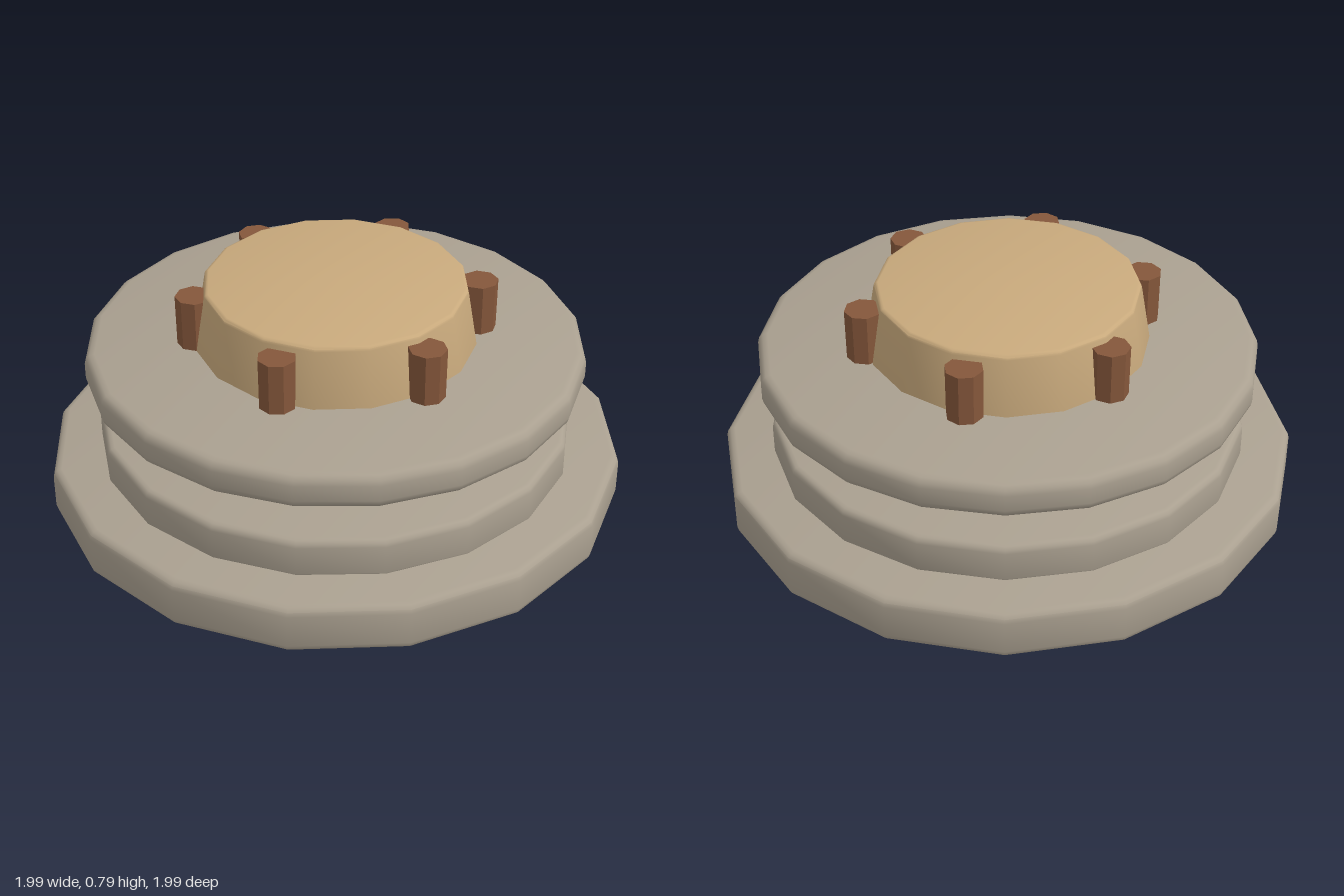
import * as THREE from 'three';
import { toCreasedNormals } from 'three/addons/utils/BufferGeometryUtils.js';

const material = (name, color) => {
  const m = new THREE.MeshStandardMaterial({ color });
  m.name = name;
  return m;
};

// Solid disc with rounded rims; the side may taper from r0 (bottom) to r1 (top)
function disc(name, mat, { r0, r1 = r0, y0, y1, bevel, sides, z = 0 }) {
  const points = [new THREE.Vector2(0, y0)];
  const steps = 3;
  for (let i = 0; i <= steps; i++) {
    const a = (i / steps) * Math.PI / 2;
    points.push(new THREE.Vector2(r0 - bevel + bevel * Math.sin(a), y0 + bevel - bevel * Math.cos(a)));
  }
  for (let i = 0; i <= steps; i++) {
    const a = (i / steps) * Math.PI / 2;
    points.push(new THREE.Vector2(r1 - bevel + bevel * Math.cos(a), y1 - bevel + bevel * Math.sin(a)));
  }
  points.push(new THREE.Vector2(0, y1));
  const mesh = new THREE.Mesh(toCreasedNormals(new THREE.LatheGeometry(points, sides), 0.6), mat);
  mesh.name = name;
  mesh.position.z = z;
  return mesh;
}

export function createModel() {
  const stone = material('stone', 0xaaa090);
  const sand = material('sand', 0xc8a97c);
  const wood = material('wood', 0x85573b);
  const model = new THREE.Group();
  model.name = 'steppedPedestal';

  // Stepped base
  model.add(disc('base', stone, { r0: 0.995, y0: 0.005, y1: 0.18, bevel: 0.03, sides: 16 }));
  model.add(disc('step', stone, { r0: 0.82, y0: 0.16, y1: 0.31, bevel: 0.025, sides: 18 }));

  // Tapered drum, its collar and the broad upper plate
  model.add(disc('drum', sand, { r0: 0.53, r1: 0.45, y0: 0.29, y1: 0.79, bevel: 0.015, sides: 16, z: -0.01 }));
  model.add(disc('collar', wood, { r0: 0.565, y0: 0.39, y1: 0.47, bevel: 0.025, sides: 20, z: -0.005 }));
  model.add(disc('upperPlate', stone, { r0: 0.855, y0: 0.455, y1: 0.58, bevel: 0.035, sides: 20, z: -0.005 }));

  // Ring of upright pegs around the drum
  const pegs = new THREE.Group();
  pegs.name = 'pegs';
  const pegGeometry = toCreasedNormals(new THREE.CylinderGeometry(0.064, 0.06, 0.42, 8), 0.5);
  for (let i = 0; i < 6; i++) {
    const a = THREE.MathUtils.degToRad(-15 + i * 60);
    const peg = new THREE.Mesh(pegGeometry, wood);
    peg.name = 'peg';
    peg.position.set(0.008 + 0.485 * Math.cos(a), 0.55, -0.008 + 0.485 * Math.sin(a));
    peg.rotation.y = -a;
    pegs.add(peg);
  }
  model.add(pegs);
  return model;
}
